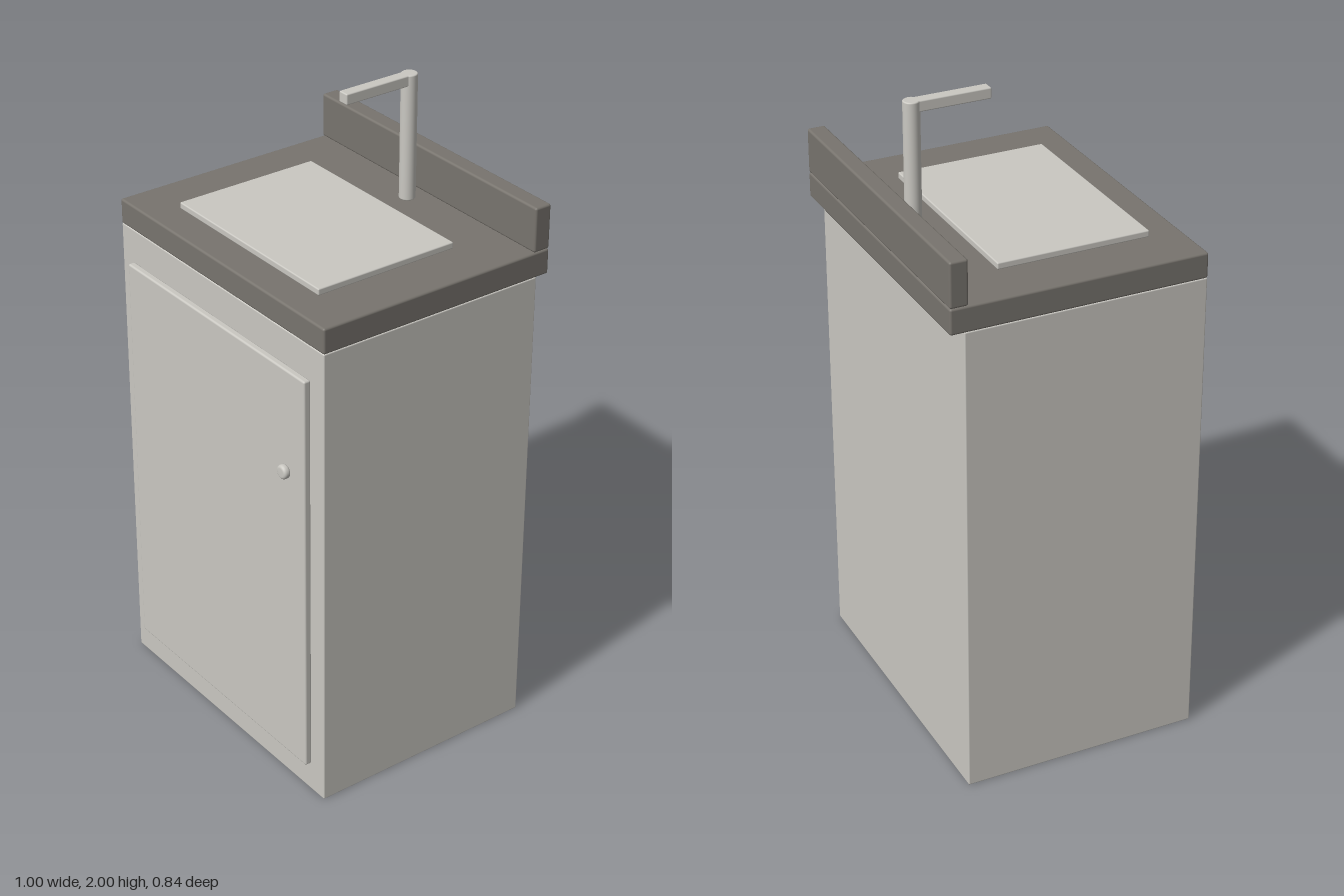
import * as THREE from 'three';
import { RoundedBoxGeometry } from 'three/addons/geometries/RoundedBoxGeometry.js';

export function createModel() {
  const model = new THREE.Group();
  model.name = 'washstand';
  const paint = new THREE.MeshStandardMaterial({ color: 0xcac8c2 });
  paint.name = 'pale grey';
  const stone = new THREE.MeshStandardMaterial({ color: 0x78746e });
  stone.name = 'dark stone';

  const add = (name, geometry, material) => {
    const mesh = new THREE.Mesh(geometry, material);
    mesh.name = name;
    model.add(mesh);
    return mesh;
  };

  // softly bevelled slab given by its lower and upper corners
  const slab = (name, material, [x0, y0, z0], [x1, y1, z1], bevel = 0.004) => {
    const geometry = new RoundedBoxGeometry(x1 - x0, y1 - y0, z1 - z0, 2, bevel);
    add(name, geometry, material).position.set((x0 + x1) / 2, (y0 + y1) / 2, (z0 + z1) / 2);
  };

  // closed round part with eased rims, standing on its base
  const round = (name, material, radius, height, bevel) => {
    const profile = [new THREE.Vector2(0, 0)];
    for (let i = 0; i <= 4; i++) {
      const a = (i / 4) * Math.PI / 2;
      profile.push(new THREE.Vector2(radius - bevel + bevel * Math.sin(a), bevel - bevel * Math.cos(a)));
    }
    for (let i = 0; i <= 4; i++) {
      const a = (i / 4) * Math.PI / 2;
      profile.push(new THREE.Vector2(radius - bevel + bevel * Math.cos(a), height - bevel + bevel * Math.sin(a)));
    }
    profile.push(new THREE.Vector2(0, height));
    return add(name, new THREE.LatheGeometry(profile, 32), material);
  };

  // cabinet and door
  slab('cabinet', paint, [-0.498, 0, -0.38], [0.498, 1.525, 0.373]);
  slab('door', paint, [-0.438, 0.1, 0.373], [0.438, 1.42, 0.396], 0.006);
  const knob = round('doorKnob', paint, 0.022, 0.023, 0.009);
  knob.position.set(0.358, 1.1, 0.398);
  knob.rotation.x = Math.PI / 2;

  // countertop, backsplash and basin panel
  slab('countertop', stone, [-0.499, 1.524, -0.423], [0.499, 1.604, 0.374], 0.007);
  slab('backsplash', stone, [-0.499, 1.604, -0.423], [0.499, 1.744, -0.367], 0.007);
  slab('basin', paint, [-0.338, 1.604, -0.204], [0.338, 1.625, 0.272]);

  // tap: upright pipe and forward spout
  round('tapPipe', paint, 0.025, 0.396, 0.004).position.set(0, 1.604, -0.305);
  slab('tapSpout', paint, [-0.018, 1.966, -0.305], [0.018, 2, -0.066]);

  return model;
}
